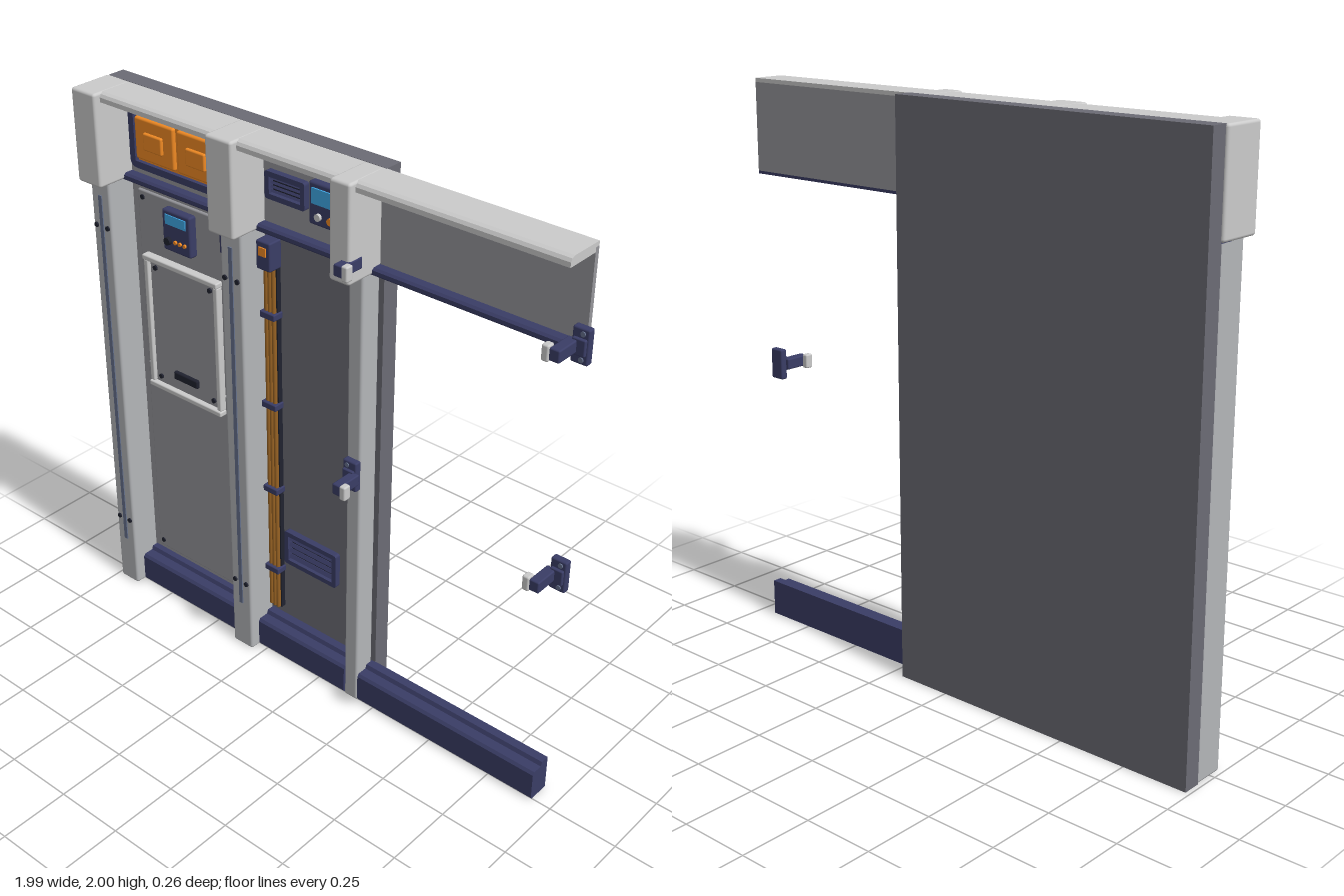
import * as THREE from 'three';
import { RoundedBoxGeometry } from 'three/addons/geometries/RoundedBoxGeometry.js';

const mat = (color, side = THREE.FrontSide) => new THREE.MeshStandardMaterial({ color, side });
const M = {
  light: mat(0xcccccc), column: mat(0xb4b6b9), panel: mat(0x96969b), wall: mat(0x6c6c75),
  navy: mat(0x3a3d66), dark: mat(0x20222f), strip: mat(0x66718c), orange: mat(0xf08a24),
  brown: mat(0x9a6424), blue: mat(0x3fa9e8),
};

// Box given by its limits; r rounds the edges
function box(parent, name, m, x0, x1, y0, y1, z0, z1, r = 0) {
  const s = [x1 - x0, y1 - y0, z1 - z0];
  const g = r ? new RoundedBoxGeometry(...s, 2, r) : new THREE.BoxGeometry(...s);
  const mesh = new THREE.Mesh(g, m);
  mesh.name = name;
  mesh.position.set((x0 + x1) / 2, (y0 + y1) / 2, (z0 + z1) / 2);
  parent.add(mesh);
  return mesh;
}

// Short round stud facing +z
function stud(parent, name, m, x, y, z0, z1, r) {
  const mesh = new THREE.Mesh(new THREE.CylinderGeometry(r, r, z1 - z0, 16), m);
  mesh.name = name;
  mesh.rotation.x = Math.PI / 2;
  mesh.position.set(x, y, (z0 + z1) / 2);
  parent.add(mesh);
}

function group(parent, name) {
  const g = new THREE.Group();
  g.name = name;
  parent.add(g);
  return g;
}

// Profile of [z, y] points swept from x0 to x1
function rail(parent, name, m, pts, x0, x1) {
  const shape = new THREE.Shape(pts.map(([z, y]) => new THREE.Vector2(-z, y)));
  const g = new THREE.ExtrudeGeometry(shape, { depth: x1 - x0, bevelEnabled: false });
  g.rotateY(Math.PI / 2);
  g.translate(x0, 0, 0);
  const mesh = new THREE.Mesh(g, m);
  mesh.name = name;
  parent.add(mesh);
}

// Rectangular frame with a rounded outline and a hole
function frame(parent, name, m, x0, x1, y0, y1, z0, z1, w, r) {
  const s = new THREE.Shape();
  s.moveTo(x0 + r, y0).lineTo(x1 - r, y0).quadraticCurveTo(x1, y0, x1, y0 + r)
    .lineTo(x1, y1 - r).quadraticCurveTo(x1, y1, x1 - r, y1)
    .lineTo(x0 + r, y1).quadraticCurveTo(x0, y1, x0, y1 - r)
    .lineTo(x0, y0 + r).quadraticCurveTo(x0, y0, x0 + r, y0);
  const h = new THREE.Path();
  h.moveTo(x0 + w, y0 + w).lineTo(x0 + w, y1 - w).lineTo(x1 - w, y1 - w).lineTo(x1 - w, y0 + w).closePath();
  s.holes.push(h);
  const mesh = new THREE.Mesh(new THREE.ExtrudeGeometry(s, { depth: z1 - z0, bevelEnabled: false, curveSegments: 6 }), m);
  mesh.name = name;
  mesh.position.z = z0;
  parent.add(mesh);
}

function vent(parent, name, x0, x1, y0, y1, z, n) {
  const g = group(parent, name), w = 0.018;
  frame(g, 'ventFrame', M.navy, x0, x1, y0, y1, z, z + 0.025, w, 0.01);
  box(g, 'ventBack', M.dark, x0 + w, x1 - w, y0 + w, y1 - w, z, z + 0.006);
  const step = (y1 - y0 - 2 * w) / n;
  for (let i = 0; i < n; i++) {
    const y = y0 + w + step * (i + 0.5);
    const slat = box(g, 'slat', M.navy, x0 + w, x1 - w, y - step * 0.3, y + step * 0.3, z + 0.01, z + 0.016);
    slat.rotation.x = -0.5;
  }
}

// Bracket with its arm reaching out in front; dir is the side the pad faces
function bracket(parent, name, x, y, dir) {
  const g = group(parent, name);
  g.position.set(x, y, 0);
  box(g, 'plate', M.navy, -0.028, 0.028, -0.056, 0.056, 0.008, 0.034, 0.006);
  const a = dir * 0.005, b = dir * 0.04;
  box(g, 'arm', M.navy, Math.min(a, b), Math.max(a, b), -0.02, 0.02, 0.03, 0.125, 0.005);
  const c = dir * 0.038, d = dir * 0.062;
  box(g, 'pad', M.light, Math.min(c, d), Math.max(c, d), -0.026, 0.026, 0.1, 0.13, 0.006);
  box(g, 'armFoot', M.navy, -0.022, 0.022, -0.026, 0.026, 0.03, 0.044, 0.004);
  for (const s of [-1, 1]) stud(g, 'bolt', M.strip, -dir * 0.008, s * 0.04, 0.03, 0.038, 0.008);
}

export function createModel() {
  const root = new THREE.Group();
  root.name = 'wallModule';

  // Back wall
  box(root, 'backWall', M.wall, -0.985, 0.2, 0, 2, -0.135, -0.07);

  // Header: thin panel, overhanging cap and lower trim
  const header = group(root, 'header');
  box(header, 'headerPanel', M.panel, -0.985, 0.93, 1.68, 1.985, -0.072, -0.056);
  rail(header, 'headerCap', M.light, [[-0.072, 1.97], [0.064, 1.968], [0.064, 1.984], [0.058, 1.994],
    [0.046, 1.999], [-0.072, 1.999]], -0.985, 0.93);
  rail(header, 'headerTrim', M.navy, [[-0.072, 1.67], [-0.022, 1.67], [-0.018, 1.675], [-0.018, 1.688],
    [-0.026, 1.695], [-0.072, 1.695]], -0.985, 0.93);

  // Base rail in three lengths between the columns
  for (const [a, b] of [[-0.89, -0.385], [-0.285, 0.123], [0.185, 0.93]])
    rail(root, 'baseRail', M.navy, [[-0.072, 0.004], [0.004, 0.004], [0.01, 0.012], [0.01, 0.11], [0.002, 0.12],
      [-0.034, 0.12], [-0.04, 0.135], [-0.072, 0.135]], a, b);

  // Columns with their wider heads; the first two carry a strip and screws
  for (const [x, w, z, head] of [[-0.94, 0.09, 0.046, 0.11], [-0.334, 0.093, 0.046, 0.112], [0.154, 0.058, 0.01, 0.08]]) {
    const c = group(root, 'column');
    box(c, 'columnShaft', M.column, x - w / 2, x + w / 2, 0, 1.69, -0.072, z, 0.01);
    box(c, 'columnHead', M.light, x - head / 2, x + head / 2, 1.672, 2, -0.074, 0.09, 0.01);
    if (z < 0.02) continue;
    box(c, 'columnStrip', M.strip, x - 0.008, x + 0.008, 0.195, 1.62, z - 0.004, z + 0.004);
    for (const y of [0.29, 1.505]) for (const s of [-1, 1])
      stud(c, 'screw', M.dark, x + s * 0.027, y, z - 0.004, z + 0.006, 0.009);
  }

  // Tall panels between the first two columns
  box(root, 'lowerPanel', M.panel, -0.865, -0.405, 0.152, 0.964, -0.074, -0.055, 0.006);
  box(root, 'upperPanel', M.panel, -0.865, -0.44, 0.967, 1.635, -0.074, -0.055, 0.006);
  box(root, 'panelBacking', M.panel, -0.9, -0.37, 0.13, 1.68, -0.074, -0.064);
  for (const [x, y] of [[-0.84, 1.61], [-0.46, 1.61], [-0.84, 0.18], [-0.43, 0.18]])
    stud(root, 'panelScrew', M.dark, x, y, -0.06, -0.05, 0.009);

  // Framed access hatch
  const hatch = group(root, 'accessHatch');
  box(hatch, 'hatchPlate', M.panel, -0.825, -0.485, 0.9, 1.4, -0.06, -0.045);
  for (const y of [0.9, 1.4]) box(hatch, 'hatchBar', M.light, -0.832, -0.478, y - 0.01, y + 0.01, -0.06, -0.025, 0.005);
  for (const x of [-0.82, -0.49]) box(hatch, 'hatchBar', M.light, x - 0.01, x + 0.01, 0.91, 1.39, -0.06, -0.03, 0.005);
  for (const x of [-0.785, -0.525]) for (const y of [0.935, 1.365])
    stud(hatch, 'hatchScrew', M.dark, x, y, -0.05, -0.038, 0.009);
  box(hatch, 'hatchHandle', M.dark, -0.712, -0.596, 0.955, 0.987, -0.05, -0.032, 0.006);

  // Control box on the tall panel
  const control = group(root, 'controlBox');
  box(control, 'controlCase', M.navy, -0.72, -0.59, 1.465, 1.615, -0.06, -0.025, 0.008);
  box(control, 'screen', M.blue, -0.702, -0.608, 1.565, 1.6, -0.03, -0.021);
  stud(control, 'knob', M.dark, -0.69, 1.505, -0.03, -0.012, 0.014);
  for (let i = 0; i < 3; i++) stud(control, 'button', M.orange, -0.658 + i * 0.022, 1.507, -0.03, -0.018, 0.007);

  // Orange twin locker in the header
  const locker = group(root, 'twinLocker');
  frame(locker, 'lockerFrame', M.navy, -0.85, -0.425, 1.732, 1.945, -0.06, -0.02, 0.024, 0.03);
  box(locker, 'lockerBack', M.orange, -0.83, -0.445, 1.752, 1.925, -0.06, -0.035);
  for (const x of [-0.735, -0.54]) {
    box(locker, 'lockerDoor', M.orange, x - 0.09, x + 0.09, 1.765, 1.912, -0.05, -0.022, 0.008);
    box(locker, 'lockerHandle', M.orange, x - 0.043, x + 0.043, 1.807, 1.868, -0.03, -0.012, 0.006);
  }

  // Vents and the header control unit
  vent(root, 'upperVent', -0.255, -0.09, 1.787, 1.88, -0.058, 4);
  vent(root, 'lowerVent', -0.205, 0.033, 0.388, 0.525, -0.072, 4);
  const unit = group(root, 'headerControl');
  box(unit, 'unitCase', M.navy, -0.066, 0.066, 1.76, 1.902, -0.06, -0.025, 0.008);
  box(unit, 'screen', M.blue, -0.05, 0.05, 1.833, 1.885, -0.03, -0.02);
  stud(unit, 'button', M.light, -0.024, 1.793, -0.03, -0.015, 0.012);
  stud(unit, 'button', M.orange, 0.026, 1.793, -0.03, -0.015, 0.012);

  // Cable conduits on both sides of the middle column
  for (const x of [-0.415, -0.252]) {
    const c = group(root, 'conduit');
    box(c, 'conduitHead', M.navy, x - 0.03, x + 0.03, 1.54, 1.642, -0.072, -0.015, 0.006);
    box(c, 'conduitLight', M.orange, x - 0.015, x + 0.015, 1.592, 1.622, -0.02, -0.01);
    box(c, 'conduitBack', M.dark, x - 0.026, x + 0.026, 0.17, 1.55, -0.072, -0.052);
    for (const [dx, m] of [[-0.016, M.brown], [0, M.orange], [0.016, M.brown]]) {
      const p = new THREE.Mesh(new THREE.CylinderGeometry(0.008, 0.008, 1.37, 12), dx ? m : M.brown);
      p.name = 'cable';
      p.position.set(x + dx, 0.86, -0.046);
      c.add(p);
    }
    for (const y of [0.343, 0.685, 1.027, 1.37])
      box(c, 'clamp', M.navy, x - 0.032, x + 0.032, y - 0.012, y + 0.012, -0.072, -0.028, 0.004);
  }

  // Facing pairs of brackets across the opening
  for (const y of [0.957, 1.733]) {
    bracket(root, 'leftSideBracket', 0.963, y, -1);
    bracket(root, 'rightSideBracket', 0.157, y, 1);
  }
  return root;
}
